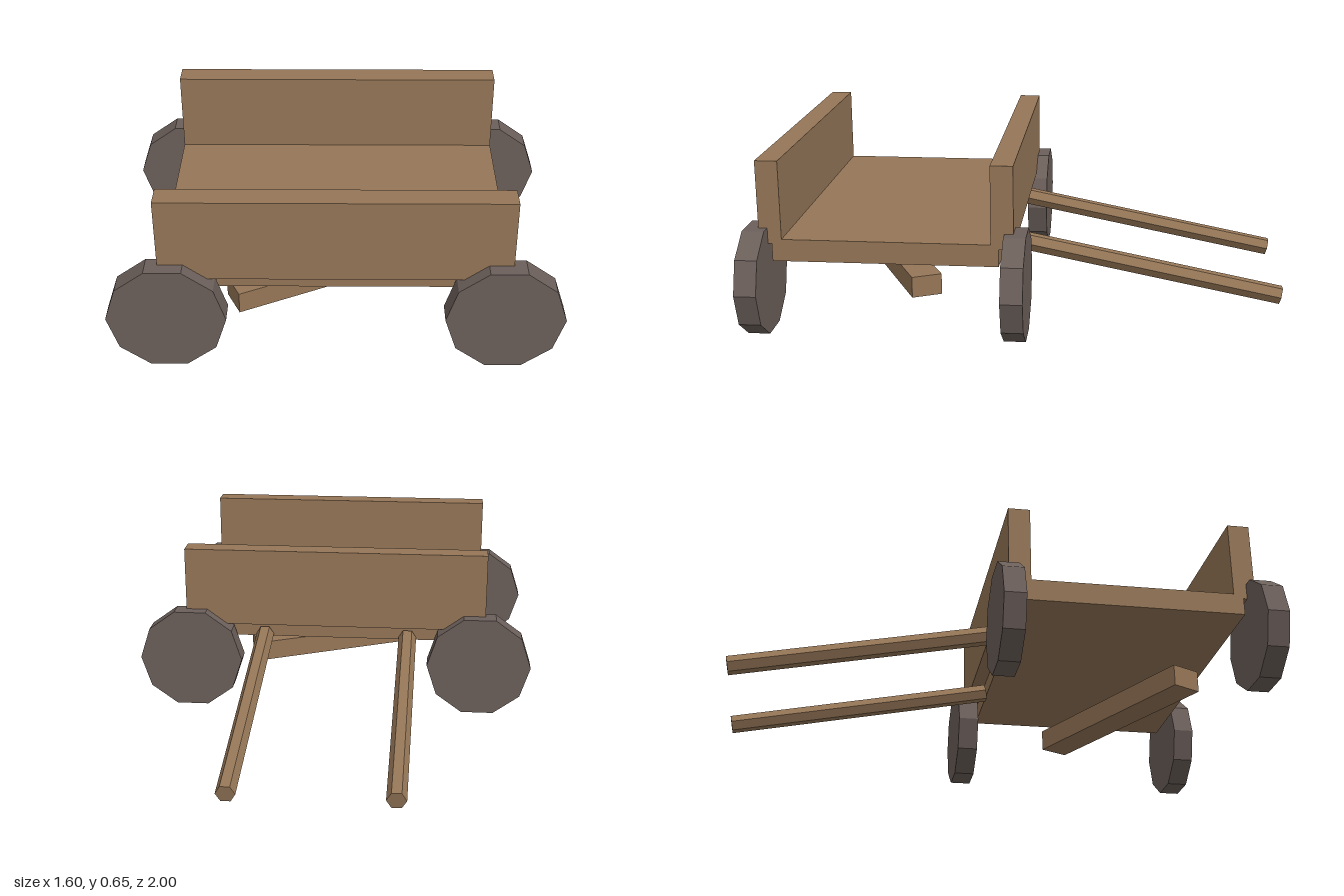
import * as THREE from 'three';

export function createModel() {
  const cart = new THREE.Group();
  cart.name = 'handcart';

  const wood = new THREE.MeshStandardMaterial({ color: 0x957657, flatShading: true });
  wood.name = 'brown wood';
  const wheelGrey = new THREE.MeshStandardMaterial({ color: 0x6b5f5a, flatShading: true });
  wheelGrey.name = 'grey wheel';

  function add(name, geometry, material, x, y, z) {
    const mesh = new THREE.Mesh(geometry, material);
    mesh.name = name;
    mesh.position.set(x, y, z);
    cart.add(mesh);
    return mesh;
  }

  // Flat bed with an upright board at each end
  add('bed', new THREE.BoxGeometry(1.224, 0.084, 0.84), wood, -0.001, 0.315, 0.484);
  const board = new THREE.BoxGeometry(1.224, 0.315, 0.084);
  add('frontBoard', board, wood, -0.001, 0.497, 0.909);
  add('backBoard', board, wood, -0.001, 0.497, 0.052);

  // Loose plank lying askew beneath the bed
  const plank = add('loosePlank', new THREE.BoxGeometry(0.839, 0.083, 0.12), wood, -0.002, 0.104, 0.553);
  plank.rotation.y = 0.45;

  // Ten-sided wheels, with a flat side on the ground
  const wheel = new THREE.CylinderGeometry(0.21, 0.21, 0.082, 10)
    .rotateY(Math.PI / 2)
    .rotateX(Math.PI / 2);
  for (const [side, x] of [['left', 0.59], ['right', -0.59]]) {
    add(side + 'FrontWheel', wheel, wheelGrey, x, 0.2, 0.959);
    add(side + 'BackWheel', wheel, wheelGrey, x, 0.2, 0.002);
  }

  // Six-sided pulling shafts, sloping down to the back
  const start = new THREE.Vector3(0, 0.285, 0.058);
  const end = new THREE.Vector3(0, 0.078, -0.994);
  const middle = start.clone().add(end).multiplyScalar(0.5);
  const shaft = new THREE.CylinderGeometry(0.036, 0.036, start.distanceTo(end), 6)
    .rotateY(Math.PI / 2)
    .rotateX(Math.PI / 2 - Math.atan2(start.y - end.y, start.z - end.z));
  for (const [side, x] of [['left', 0.293], ['right', -0.297]]) {
    add(side + 'Shaft', shaft, wood, x, middle.y, middle.z);
  }

  return cart;
}
